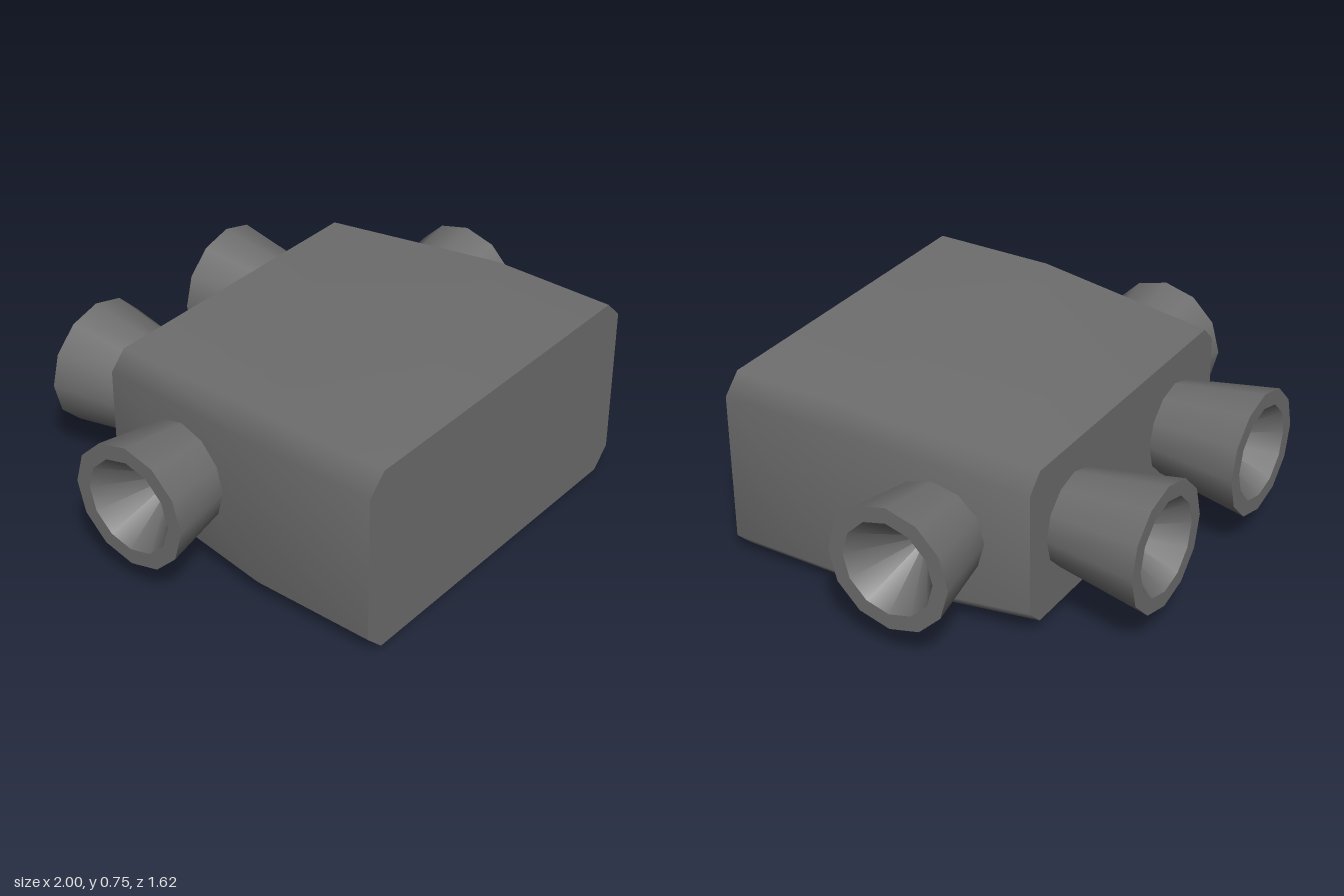
import * as THREE from 'three';
import { mergeGeometries } from 'three/addons/utils/BufferGeometryUtils.js';

const MID_Y = 0.375;

// Chamfered rectangle, counter-clockwise seen from +z
function ring(w, h, c, z) {
  return [
    [w, -h + c], [w, h - c], [w - c, h], [-w + c, h],
    [-w, h - c], [-w, -h + c], [-w + c, -h], [w - c, -h],
  ].map(([x, y]) => [x, y + MID_Y, z]);
}

function geometry(points, index) {
  const g = new THREE.BufferGeometry();
  g.setAttribute('position', new THREE.Float32BufferAttribute(points.flat(), 3));
  g.setIndex(index);
  g.computeVertexNormals();
  return g;
}

// Smooth skin through the rings, with flat end caps
function hullGeometry(rings) {
  const n = rings[0].length;
  const skin = [];
  for (let r = 0; r < rings.length - 1; r++) {
    for (let i = 0; i < n; i++) {
      const a = r * n + i, b = r * n + (i + 1) % n;
      skin.push(a, a + n, b, b, a + n, b + n);
    }
  }
  const front = [], back = [];
  for (let i = 1; i < n - 1; i++) {
    front.push(0, i, i + 1);
    back.push(0, i + 1, i);
  }
  return mergeGeometries([
    geometry(rings.flat(), skin),
    geometry(rings[0], front),
    geometry(rings[rings.length - 1], back),
  ]);
}

// Flared twelve-sided nozzle along +y: outer wall, flat rim, conical bore
function nozzleGeometry() {
  const profile = [[0.1875, 0], [0.25, 0.375], [0.1875, 0.375], [0, 0.125]]
    .map(([r, y]) => new THREE.Vector2(r, y));
  return mergeGeometries([0, 1, 2].map(
    (i) => new THREE.LatheGeometry(profile.slice(i, i + 2), 12)));
}

export function createModel() {
  const model = new THREE.Group();
  const metal = new THREE.MeshStandardMaterial({ color: 0x6e6e6e });
  metal.name = 'grey metal';

  // Body: straight at the front, tapering towards the back
  const body = new THREE.Mesh(hullGeometry([
    ring(0.75, 0.375, 0.075, 0.8125),
    ring(0.75, 0.375, 0.075, 0.3125),
    ring(0.675, 0.3125, 0.0675, -0.4375),
  ]), metal);
  body.name = 'body';
  model.add(body);

  // Two rear nozzles and one on each flank
  const nozzle = nozzleGeometry();
  for (const side of [1, -1]) {
    const name = side > 0 ? 'left' : 'right';
    const rear = new THREE.Mesh(nozzle, metal);
    rear.name = name + 'RearNozzle';
    rear.position.set(side * 0.375, MID_Y, -0.4375);
    rear.rotation.x = -Math.PI / 2;
    const flank = new THREE.Mesh(nozzle, metal);
    flank.name = name + 'SideNozzle';
    flank.position.set(side * 0.625, MID_Y, -0.0625);
    flank.rotation.z = -side * Math.PI / 2;
    model.add(rear, flank);
  }
  return model;
}
